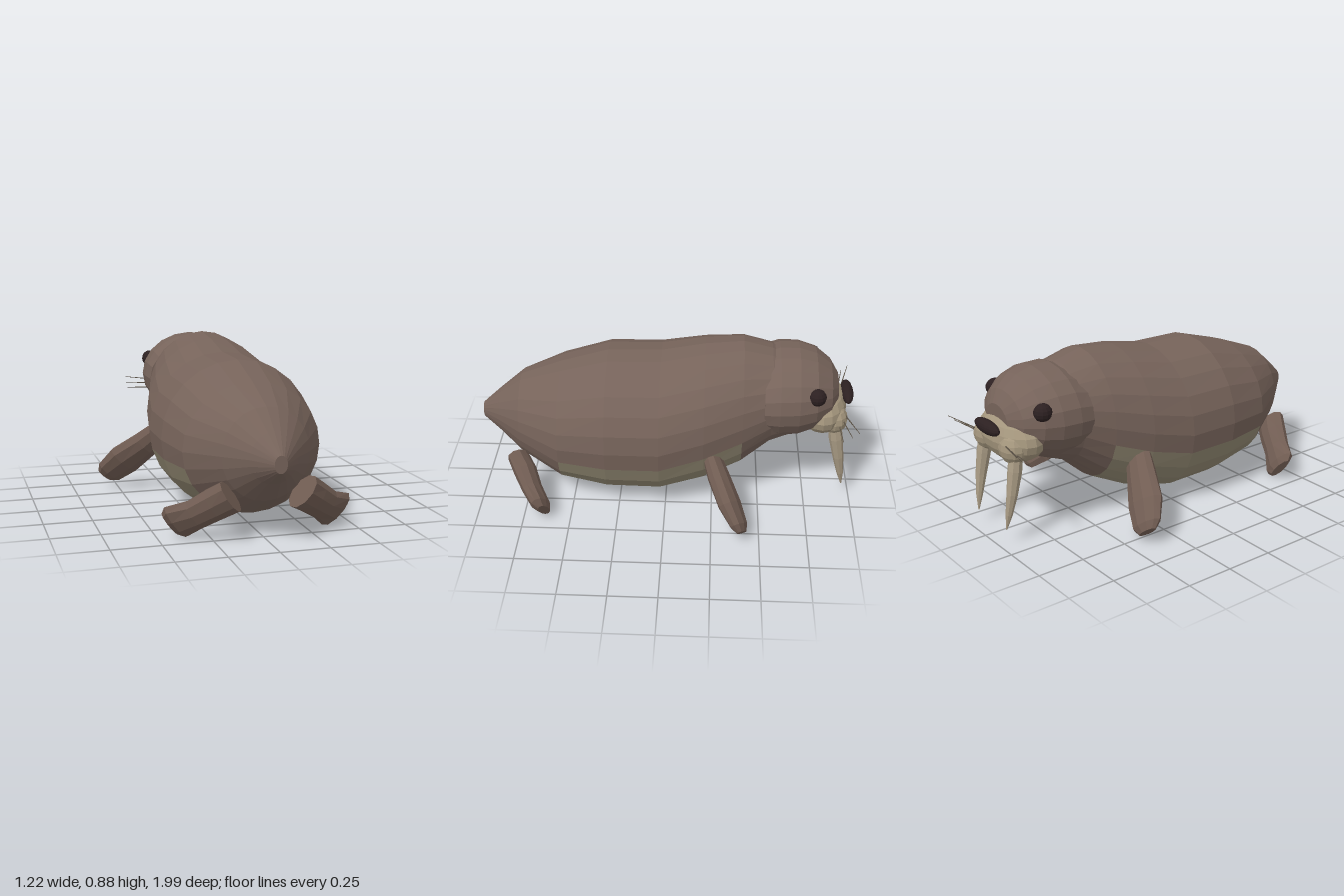
import * as THREE from 'three';

const V = (x, y, z) => new THREE.Vector3(x, y, z);
const paint = (name, color) => {
  const m = new THREE.MeshStandardMaterial({ color, flatShading: true });
  m.name = name;
  return m;
};

// Joins rings of points into a closed skin; pick(ring, side) chooses the material slot
function loft(rings, pick = () => 0) {
  const slots = [[], []], n = rings[0].length;
  const middle = r => r.reduce((s, p) => s.add(p), V(0, 0, 0)).divideScalar(n);
  const first = rings[0], last = rings[rings.length - 1];
  const c0 = middle(first), c1 = middle(last);
  for (let j = 0; j < n; j++) {
    const k = (j + 1) % n;
    slots[0].push(c0, first[k], first[j], c1, last[j], last[k]);
    for (let i = 0; i < rings.length - 1; i++) {
      const a = rings[i], b = rings[i + 1];
      slots[pick(i, j)].push(a[j], a[k], b[j], a[k], b[k], b[j]);
    }
  }
  const g = new THREE.BufferGeometry().setFromPoints([...slots[0], ...slots[1]]);
  g.addGroup(0, slots[0].length, 0);
  if (slots[1].length) g.addGroup(slots[0].length, slots[1].length, 1);
  g.computeVertexNormals();
  return g;
}

// Elliptical ring: centre, two half axes
function ring(c, u, v, n) {
  return Array.from({ length: n }, (_, j) => {
    const a = j / n * Math.PI * 2;
    return c.clone().addScaledVector(u, Math.cos(a)).addScaledVector(v, Math.sin(a));
  });
}

// Rings across z from rows of [z, centre y, half width, half height]
const zRings = (rows, n) => rows.map(([z, y, rx, ry]) => ring(V(0, y, z), V(rx, 0, 0), V(0, ry, 0), n));

// Flattened limb from rows of [x, y, z, half width, half thickness], s = side
function limb(rows, wide, s, n) {
  const pts = rows.map(r => V(r[0] * s, r[1], r[2]));
  const w = pts[pts.length - 1].clone().sub(pts[0]).normalize();
  const u = V(wide[0] * s, wide[1], wide[2]);
  u.addScaledVector(w, -u.dot(w)).normalize();
  const v = w.clone().cross(u);
  return loft(rows.map((r, i) => ring(pts[i], u.clone().multiplyScalar(r[3]), v.clone().multiplyScalar(r[4]), n)));
}

export function createModel() {
  const model = new THREE.Group();
  model.name = 'walrus';
  const hide = paint('brown hide', 0x76635a);
  const flipperSkin = paint('flipper brown', 0x715d53);
  const bellySkin = paint('pale belly', 0x8f8670);
  const muzzleSkin = paint('muzzle beige', 0xa3957c);
  const ivory = paint('tusk ivory', 0xa99b84);
  const dark = paint('dark nose and eyes', 0x2c2021);
  const bristle = paint('whisker brown', 0x5a5145);

  const add = (name, geometry, material) => {
    const m = new THREE.Mesh(geometry, material);
    m.name = name;
    model.add(m);
    return m;
  };
  const ball = (name, mat, c, r, ws = 14, hs = 10) => {
    const g = new THREE.SphereGeometry(1, ws, hs).scale(...r);
    return add(name, g, mat).position.set(...c);
  };

  // Body with the pale belly on its lower faces
  const bodyRows = [
    [-0.75, 0.58, 0.2, 0.18], [-0.55, 0.587, 0.262, 0.265], [-0.4, 0.54, 0.31, 0.35],
    [-0.2, 0.48, 0.365, 0.39], [0.03, 0.425, 0.403, 0.4], [0.31, 0.425, 0.403, 0.395],
    [0.56, 0.413, 0.355, 0.332], [0.78, 0.43, 0.22, 0.23], [0.9, 0.435, 0.12, 0.125],
    [1, 0.428, 0.032, 0.043],
  ];
  const isBelly = (i, j) => (i >= 2 && i < 6 && j >= 13 && j < 23 ? 1 : 0);
  add('body', loft(zRings(bodyRows, 24), isBelly), [hide, bellySkin]);

  // Head
  const headRows = [
    [-0.9, 0.62, 0.1, 0.08], [-0.86, 0.62, 0.19, 0.145], [-0.78, 0.622, 0.255, 0.205],
    [-0.69, 0.62, 0.285, 0.235], [-0.59, 0.618, 0.291, 0.237], [-0.51, 0.61, 0.278, 0.215],
  ];
  add('head', loft(zRings(headRows, 20)), hide);

  // Muzzle and nose
  ball('muzzle', muzzleSkin, [0, 0.53, -0.82], [0.235, 0.13, 0.135], 18, 10);
  ball('nose', dark, [0, 0.595, -0.955], [0.11, 0.036, 0.033]);

  for (const s of [1, -1]) {
    const side = s > 0 ? 'left' : 'right';
    ball(side + 'Eye', dark, [0.225 * s, 0.695, -0.775], [0.045, 0.046, 0.048], 12, 8);
    ball(side + 'WhiskerPad', muzzleSkin, [0.12 * s, 0.505, -0.885], [0.085, 0.08, 0.07], 12, 8);

    // Curved tusk
    add(side + 'Tusk', limb([
      [0.145, 0.49, -0.885, 0.035, 0.035], [0.15, 0.4, -0.9, 0.037, 0.037],
      [0.152, 0.28, -0.922, 0.029, 0.029], [0.146, 0.17, -0.942, 0.018, 0.018],
      [0.138, 0.09, -0.955, 0.003, 0.003],
    ], [1, 0, 0], s, 8), ivory);

    // Whiskers fanning outward
    [[0.555, -0.992], [0.525, -0.96], [0.5, -0.915]].forEach(([y, z], i) => {
      const a = V(0.13 * s, 0.535 - i * 0.02, -0.935 + i * 0.015), b = V(0.335 * s, y, z);
      const g = new THREE.CylinderGeometry(0.0015, 0.004, a.distanceTo(b), 5);
      const m = add(side + 'Whisker' + (i + 1), g, bristle);
      m.position.copy(a).lerp(b, 0.5);
      m.quaternion.setFromUnitVectors(V(0, 1, 0), b.sub(a).normalize());
    });

    // Front flipper
    add(side + 'FrontFlipper', limb([
      [0.27, 0.36, -0.24, 0.075, 0.045], [0.36, 0.275, -0.285, 0.09, 0.055],
      [0.47, 0.18, -0.345, 0.11, 0.055], [0.545, 0.105, -0.395, 0.09, 0.04],
      [0.57, 0.08, -0.41, 0.055, 0.022],
    ], [0.7, 0.62, 0.33], s, 10), flipperSkin);

    // Hind flipper with a fanned tip
    add(side + 'HindFlipper', limb([
      [0.18, 0.24, 0.8, 0.095, 0.055], [0.25, 0.195, 0.755, 0.09, 0.06],
      [0.33, 0.14, 0.71, 0.085, 0.052], [0.41, 0.095, 0.655, 0.105, 0.045],
      [0.435, 0.08, 0.635, 0.075, 0.025],
    ], [0.57, 0.8, 0.2], s, 10), flipperSkin);
  }
  return model;
}
